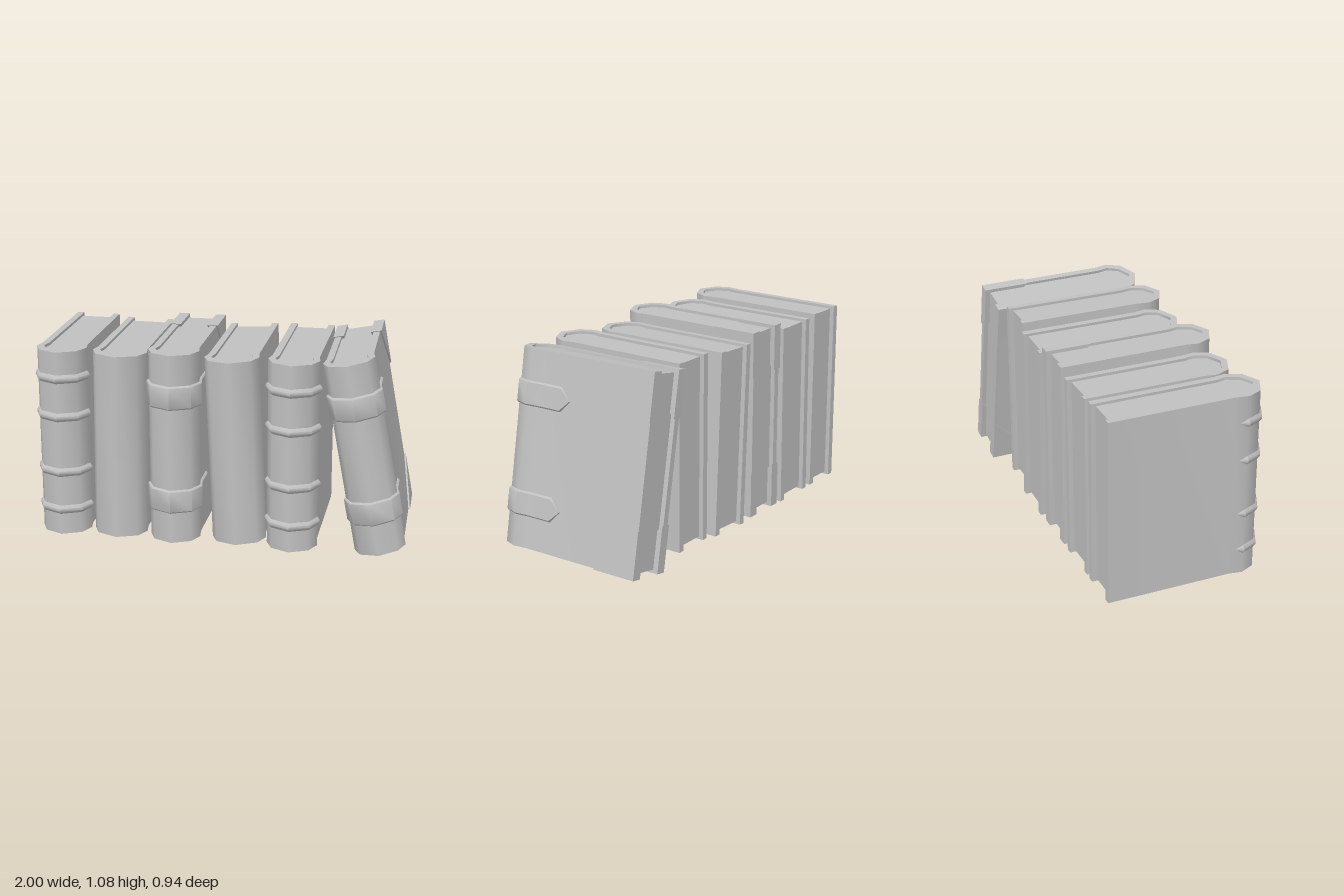
import * as THREE from 'three';
import { toCreasedNormals } from 'three/addons/utils/BufferGeometryUtils.js';

const grey = new THREE.MeshStandardMaterial({ color: 0xc0c0c0 });
grey.name = 'plain grey';

const BOARD = 0.036; // cover thickness
const mirrorPath = (half) => [...half, ...half.slice(0, -1).reverse().map(([x, z, s]) => [-x, z, s])];

// Half outline of a book seen from above, from the back edge to the spine centre
function halfOutline(w, back, inset = 0) {
  return [
    [w - 0.012 - inset, back],
    [w - 0.012 - inset, 0.23],
    [w - inset, 0.3 - inset * 0.3],
    [w - 0.035 - inset * 0.85, 0.378 - inset * 0.7],
    [0, 0.425 - inset],
  ];
}

function addMesh(group, name, geometry) {
  const mesh = new THREE.Mesh(geometry, grey);
  mesh.name = name;
  group.add(mesh);
  return mesh;
}

// Upright prism from an outline of [x, z] points
function prism(points, y0, y1) {
  const shape = new THREE.Shape(points.map(([x, z]) => new THREE.Vector2(x, -z)));
  const geo = new THREE.ExtrudeGeometry(shape, { depth: y1 - y0, bevelEnabled: false });
  geo.rotateX(-Math.PI / 2).translate(0, y0, 0);
  return toCreasedNormals(geo, 0.9);
}

// Raised band: a [y, out] profile swept along an [x, z, scale] path
function band(path, profile, y, scaleOut) {
  const pos = [], index = [], n = profile.length;
  path.forEach(([x, z, s = 1], i) => {
    const a = path[Math.max(i - 1, 0)], b = path[Math.min(i + 1, path.length - 1)];
    const normal = new THREE.Vector2(b[1] - a[1], a[0] - b[0]).normalize();
    for (const [py, out] of profile) {
      const o = scaleOut ? out * s : out;
      pos.push(x + normal.x * o, y + py * s, z + normal.y * o);
    }
    if (i === 0) return;
    for (let j = 0; j < n - 1; j++) {
      const p = (i - 1) * n + j, q = i * n + j;
      index.push(p, p + 1, q + 1, p, q + 1, q);
    }
  });
  const geo = new THREE.BufferGeometry();
  geo.setAttribute('position', new THREE.Float32BufferAttribute(pos, 3));
  geo.setIndex(index);
  return toCreasedNormals(geo.toNonIndexed(), 0.75);
}

function addRibs(book, w) {
  const path = mirrorPath([[w - 0.012, 0.25, 0], ...halfOutline(w, 0).slice(2)]);
  const profile = [[-0.027, -0.003], [-0.017, 0.006], [-0.007, 0.013], [0.007, 0.013], [0.017, 0.006], [0.027, -0.003]];
  for (const y of [0.14, 0.352, 0.66, 0.87]) addMesh(book, 'spineRib', band(path, profile, y, true));
}

function addStraps(book, w) {
  const x = w - 0.012;
  const path = mirrorPath([[x, 0.03, 0], [x, 0.09], ...halfOutline(w, 0).slice(1)]);
  const profile = [[-0.065, -0.004], [-0.064, 0.004], [-0.056, 0.012], [0.056, 0.012], [0.064, 0.004], [0.065, -0.004]];
  for (const y of [0.233, 0.805]) addMesh(book, 'strap', band(path, profile, y, false));
}

// Triangular guards on the four free corners of the boards
function addCornerGuards(book, w, height, back) {
  const thick = 0.058, leg = 0.25;
  for (const side of [-1, 1]) {
    for (const top of [false, true]) {
      const y0 = top ? height + 0.004 : -0.004, dy = top ? -leg : leg;
      const b = -(back - 0.003);
      const shape = new THREE.Shape([[b, y0], [b - leg, y0], [b, y0 + dy]].map((p) => new THREE.Vector2(...p)));
      const geo = new THREE.ExtrudeGeometry(shape, { depth: thick, bevelEnabled: false });
      geo.translate(0, 0, -thick / 2).rotateY(Math.PI / 2);
      geo.translate(side * (w - 0.003 - thick / 2), 0, 0);
      addMesh(book, 'cornerGuard', geo);
    }
  }
}

function makeBook({ w, height, back, style }) {
  const book = new THREE.Group();
  const outer = mirrorPath(halfOutline(w, back));
  const inner = mirrorPath(halfOutline(w, back, BOARD)).reverse();
  addMesh(book, 'cover', prism([...outer, ...inner], 0, height));
  const pages = mirrorPath(halfOutline(w, back + 0.025, BOARD - 0.002));
  addMesh(book, 'pages', prism(pages, 0.015, height - 0.015));
  if (style === 'ribbed') addRibs(book, w);
  if (style === 'strapped') {
    addStraps(book, w);
    addCornerGuards(book, w, height, back);
  }
  return book;
}

export function createModel() {
  const group = new THREE.Group();
  group.name = 'bookRow';
  const books = [
    { name: 'ribbedBookRight', style: 'ribbed', w: 0.135, height: 1.018, back: -0.445, at: [-0.855, 0.027, 0] },
    { name: 'plainBookRight', style: 'plain', w: 0.146, height: 1.008, back: -0.42, at: [-0.558, 0.022, -0.022], lean: -0.013 },
    { name: 'strappedBook', style: 'strapped', w: 0.136, height: 1.034, back: -0.465, at: [-0.244, 0.03, 0.024] },
    { name: 'plainBookLeft', style: 'plain', w: 0.146, height: 1.003, back: -0.425, at: [0.097, 0.025, -0.022], lean: 0.042 },
    { name: 'ribbedBookLeft', style: 'ribbed', w: 0.135, height: 1.018, back: -0.445, at: [0.39, 0.027, 0.03] },
    { name: 'leaningBook', style: 'strapped', w: 0.136, height: 1.036, back: -0.463, at: [0.853, 0.031, 0], lean: 0.185, turn: 0.02 },
  ];
  for (const spec of books) {
    const book = makeBook(spec);
    book.name = spec.name;
    book.position.set(...spec.at);
    book.rotation.set(0, spec.turn ?? 0, spec.lean ?? 0);
    group.add(book);
  }
  return group;
}
